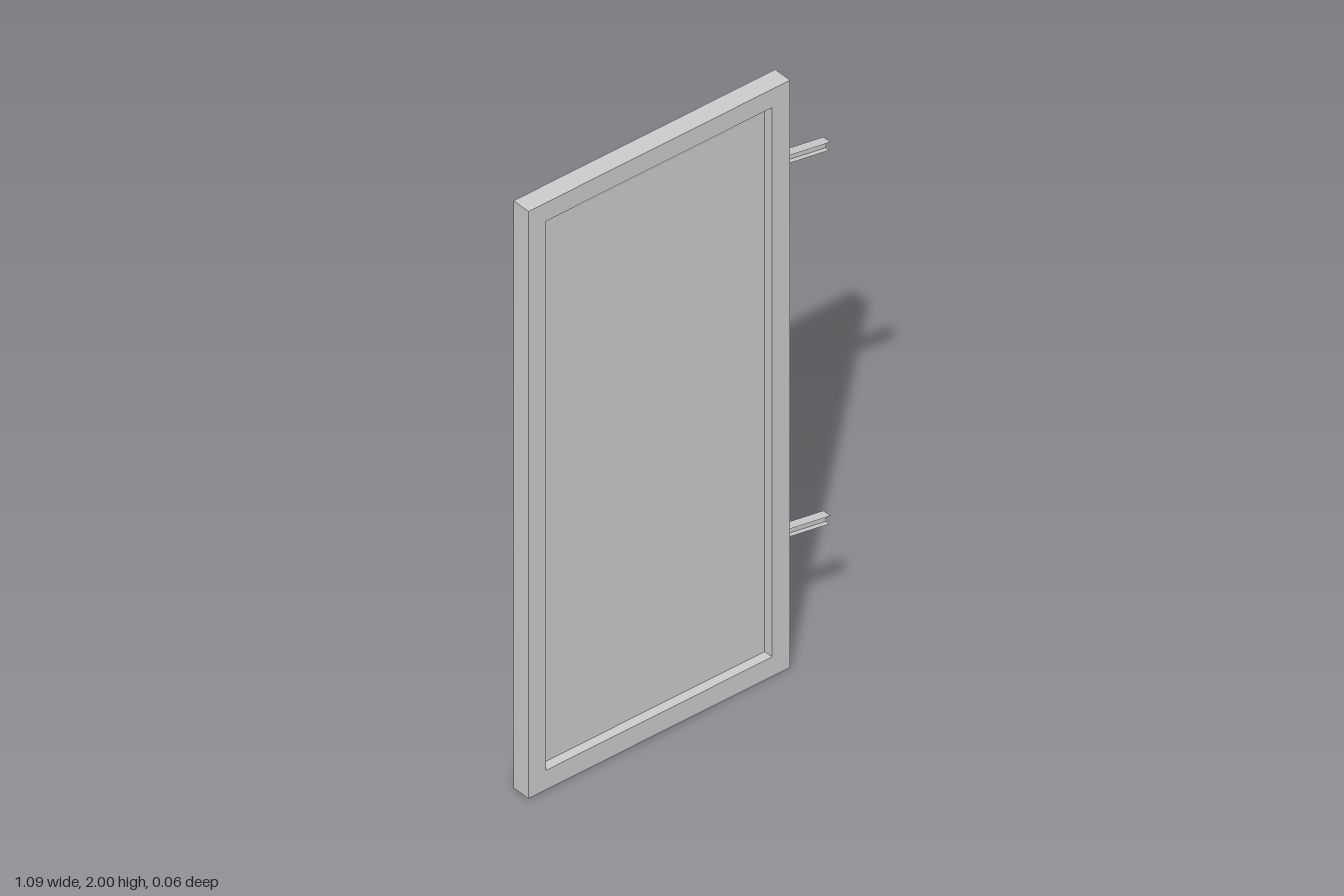
import * as THREE from 'three';

const material = new THREE.MeshStandardMaterial({
  color: 0xcccccc, flatShading: true, side: THREE.DoubleSide,
});

// Outer edges of the leaf and of its sunken panel
const outer = { x0: -0.545, x1: 0.387, y0: 0, y1: 2 };
const inner = { x0: -0.483, x1: 0.323, y0: 0.066, y1: 1.937 };
const FRONT = 0.032, BACK = -0.032, PANEL = 0;

function add(parent, name, geometry) {
  const mesh = new THREE.Mesh(geometry, material);
  mesh.name = name;
  parent.add(mesh);
  return mesh;
}

function corners(r) {
  return [[r.x0, r.y0], [r.x1, r.y0], [r.x1, r.y1], [r.x0, r.y1]]
    .map(([x, y]) => new THREE.Vector2(x, y));
}

// Four thin walls running around a rectangle between two depths
function walls(r, zFront, zBack) {
  const pts = corners(r);
  const pos = [], index = [];
  pts.forEach((a, i) => {
    const b = pts[(i + 1) % 4], n = i * 4;
    pos.push(a.x, a.y, zFront, a.x, a.y, zBack, b.x, b.y, zBack, b.x, b.y, zFront);
    index.push(n, n + 1, n + 2, n, n + 2, n + 3);
  });
  const g = new THREE.BufferGeometry();
  g.setAttribute('position', new THREE.Float32BufferAttribute(pos, 3));
  g.setIndex(index);
  g.computeVertexNormals();
  return g;
}

// Sloping I-section bracket made of three thin plates
function bracket(name, y) {
  const length = 0.171, width = 0.031, height = 0.026;
  const group = new THREE.Group();
  group.name = name;
  for (const side of [1, -1]) {
    const flange = new THREE.PlaneGeometry(length, width);
    flange.rotateX(-side * Math.PI / 2);
    flange.translate(length / 2, side * height / 2, 0);
    add(group, side > 0 ? 'upperFlange' : 'lowerFlange', flange);
  }
  const web = new THREE.PlaneGeometry(length, height);
  web.translate(length / 2, 0, 0);
  add(group, 'web', web);
  group.position.set(0.374, y, 0);
  group.rotation.z = -0.17;
  return group;
}

export function createModel() {
  const model = new THREE.Group();
  model.name = 'door';

  // Front border with a rectangular opening
  const border = new THREE.Shape(corners(outer));
  border.holes.push(new THREE.Path(corners(inner)));
  const face = new THREE.ShapeGeometry(border);
  face.translate(0, 0, FRONT);
  add(model, 'frontBorder', face);

  // Outer walls, open at the back
  add(model, 'outerWalls', walls(outer, FRONT, BACK));

  // Sunken panel and the step around it
  add(model, 'recessWalls', walls(inner, FRONT, PANEL));
  const panel = new THREE.ShapeGeometry(new THREE.Shape(corners(inner)));
  panel.translate(0, 0, PANEL);
  add(model, 'panel', panel);

  // Brackets on the hinge side
  model.add(bracket('upperBracket', 1.72), bracket('lowerBracket', 0.447));
  return model;
}
